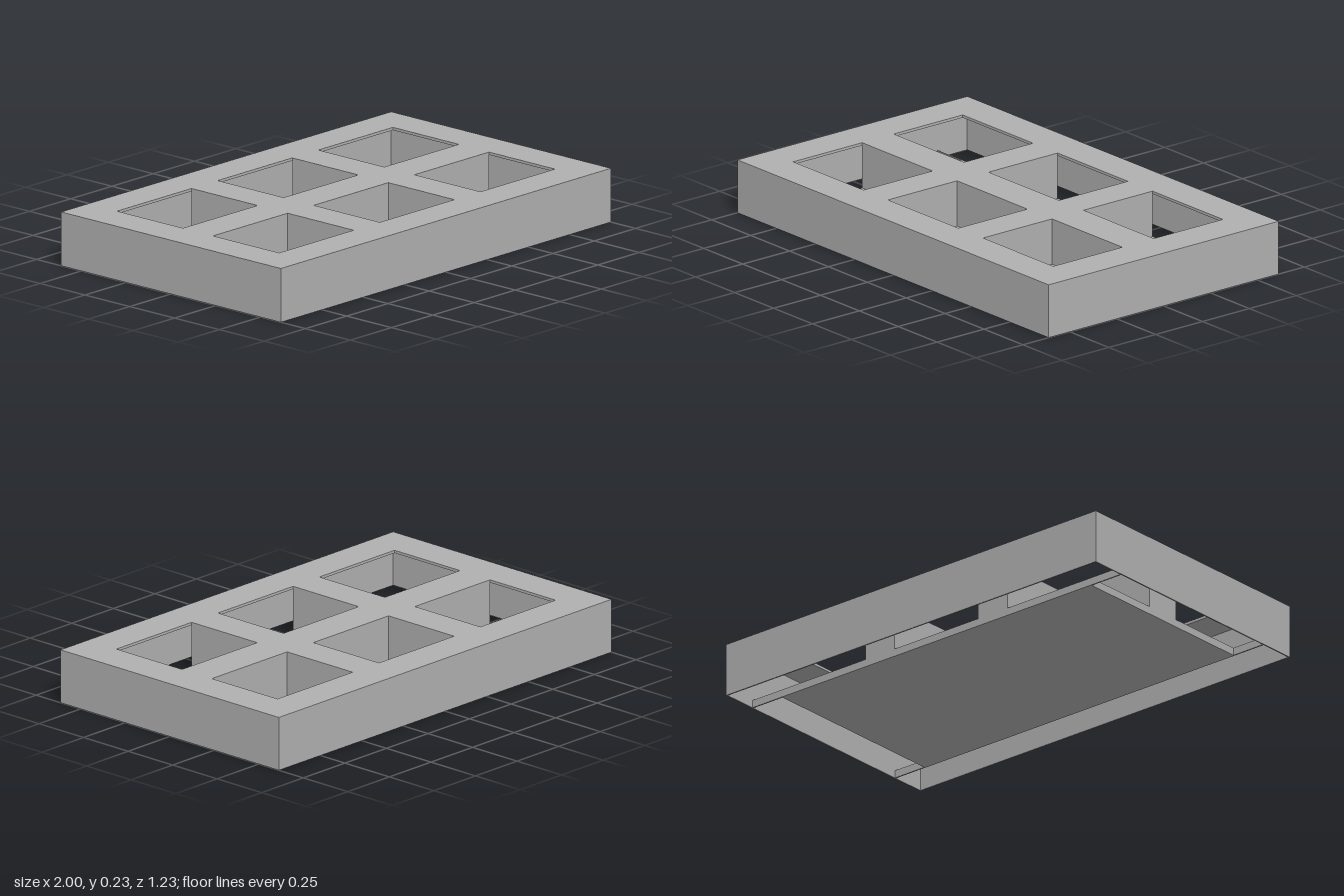
import * as THREE from 'three';

const W = 2, D = 1.226, H = 0.23;        // outer size
const T = 0.006, LID = 0.012;            // sheet thicknesses
const FLOOR = 0.033;                     // floor slab height
const IX = 0.836, IZ = 0.452;            // half extents of the pocket area
const COLS = [-0.61, 0, 0.61], ROWS = [-0.268, 0.268];
const PW = 0.452, PD = 0.368;            // pocket opening

export function createModel() {
  const model = new THREE.Group();
  const gray = new THREE.MeshStandardMaterial({ color: 0xb0b0b0 });
  gray.name = 'plain gray';

  const add = (name, geometry, x = 0, y = 0, z = 0) => {
    const mesh = new THREE.Mesh(geometry, gray);
    mesh.name = name;
    mesh.position.set(x, y, z);
    model.add(mesh);
    return mesh;
  };
  // box standing on height y
  const box = (name, w, h, d, x, y, z) =>
    add(name, new THREE.BoxGeometry(w, h, d), x, y + h / 2, z);

  const rect = (Shape, w, d, x = 0, z = 0) => new Shape([
    new THREE.Vector2(x - w / 2, z - d / 2), new THREE.Vector2(x + w / 2, z - d / 2),
    new THREE.Vector2(x + w / 2, z + d / 2), new THREE.Vector2(x - w / 2, z + d / 2),
  ]);

  // top plate with six openings
  const plate = rect(THREE.Shape, W, D);
  for (const x of COLS) for (const z of ROWS) plate.holes.push(rect(THREE.Path, PW, PD, x, z));
  const lid = new THREE.ExtrudeGeometry(plate, { depth: LID, bevelEnabled: false });
  lid.rotateX(-Math.PI / 2);
  add('topPlate', lid, 0, H - LID, 0);

  // outer skirt and the low ribs carrying the floor
  const wallH = H - LID;
  for (const s of [-1, 1]) {
    box('longWall', W, wallH, T, 0, 0, s * (D - T) / 2);
    box('endWall', T, wallH, D - 2 * T, s * (W - T) / 2, 0, 0);
    box('floorRib', W - 2 * T, FLOOR, T, 0, 0, s * (IZ - T / 2));
  }

  // floor slab under the pockets, open all round to the skirt
  box('floorSlab', 2 * IX, FLOOR, 2 * (IZ - T), 0, 0, 0);

  // dividers between the pockets
  const divH = H - LID - FLOOR;
  const rowGap = 2 * ROWS[1] - PD, colGap = COLS[2] - PW;
  box('rowDivider', 2 * IX, divH, rowGap, 0, FLOOR, 0);
  for (const sx of [-1, 1]) for (const sz of [-1, 1]) {
    box('columnDivider', colGap, divH, PD, sx * COLS[2] / 2, FLOOR, sz * ROWS[1]);
  }
  return model;
}
